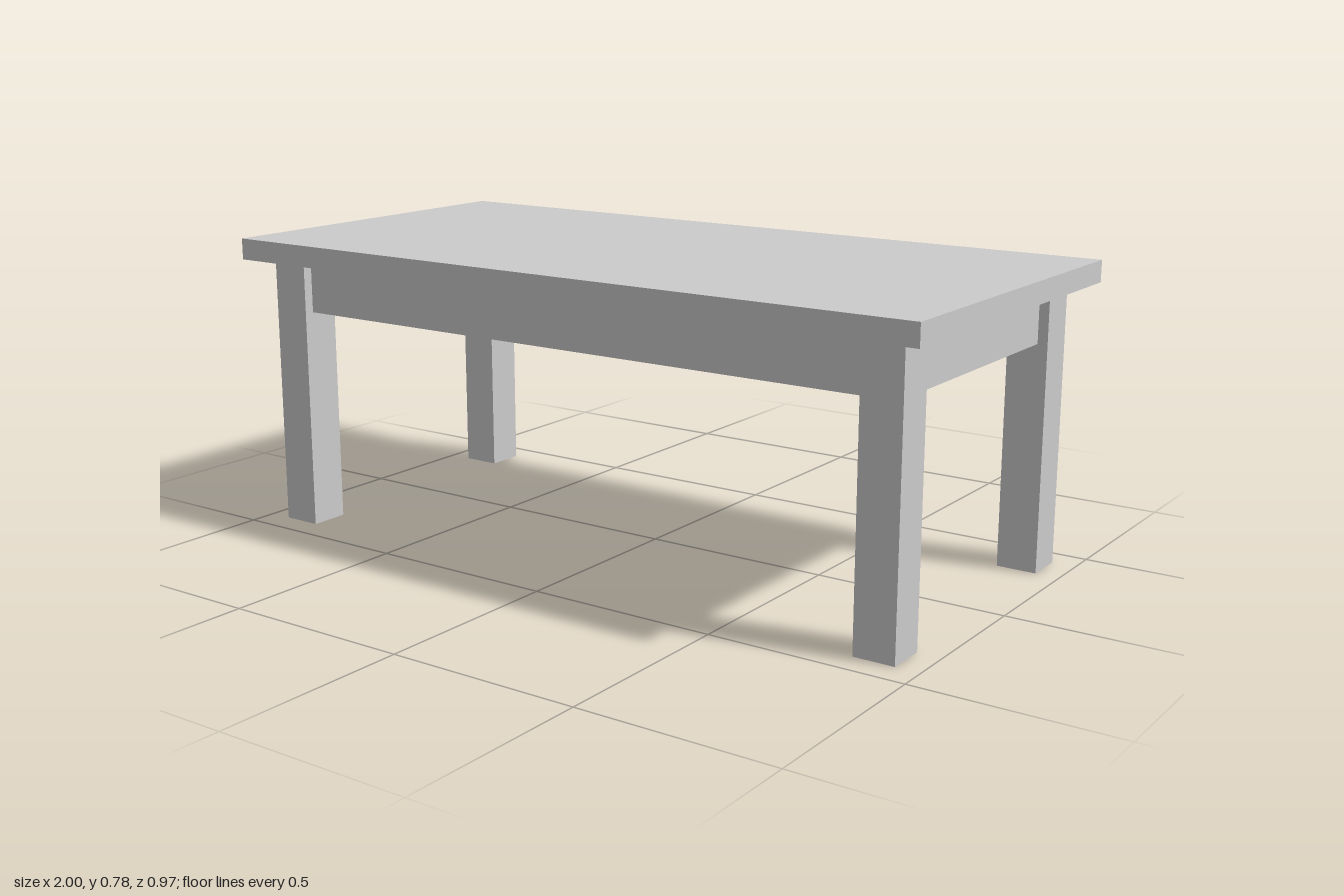
import * as THREE from 'three';

const TOP = { width: 2, depth: 0.973, y0: 0.722, y1: 0.778 };
const LEG = { size: 0.105, x: 0.8855, z: 0.3755 };
const APRON = { y0: 0.584, inset: 0.026 };
const FACES = ['right', 'left', 'top', 'bottom', 'front', 'back'];

// Box shell that keeps only the listed faces
function shell(width, height, depth, keep) {
  const geometry = new THREE.BoxGeometry(width, height, depth);
  const index = Array.from(geometry.index.array);
  geometry.setIndex(index.filter((_, i) => keep.includes(FACES[Math.floor(i / 6)])));
  geometry.clearGroups();
  // FACES follow the box order +x, -x, +y, -y, +z, -z
  return geometry;
}

export function createModel() {
  const model = new THREE.Group();
  model.name = 'table';
  const material = new THREE.MeshStandardMaterial({
    color: 0xcccccc, flatShading: true, side: THREE.DoubleSide,
  });

  const add = (name, geometry, x, y, z) => {
    const mesh = new THREE.Mesh(geometry, material);
    mesh.name = name;
    mesh.position.set(x, y, z);
    model.add(mesh);
  };

  // Tabletop with its rim, open underneath
  const rim = ['right', 'left', 'front', 'back'];
  add('tabletop', shell(TOP.width, TOP.y1 - TOP.y0, TOP.depth, [...rim, 'top']), 0, (TOP.y0 + TOP.y1) / 2, 0);

  // Hollow square legs, open at both ends
  const leg = shell(LEG.size, TOP.y0, LEG.size, rim);
  for (const [side, sx] of [['Left', 1], ['Right', -1]]) {
    for (const [end, sz] of [['front', 1], ['back', -1]]) {
      add(`${end}${side}Leg`, leg, sx * LEG.x, TOP.y0 / 2, sz * LEG.z);
    }
  }

  // Aprons: an outer wall set in from the legs and a bottom flush with their inner faces
  const height = TOP.y0 - APRON.y0;
  const y = (TOP.y0 + APRON.y0) / 2;
  const thickness = LEG.size - APRON.inset;
  const shift = APRON.inset / 2;
  for (const [name, s] of [['front', 1], ['back', -1]]) {
    add(`${name}Apron`, shell(2 * LEG.x - LEG.size, height, thickness, [name, 'bottom']), 0, y, s * (LEG.z - shift));
  }
  for (const [name, s, outer] of [['left', 1, 'right'], ['right', -1, 'left']]) {
    add(`${name}Apron`, shell(thickness, height, 2 * LEG.z - LEG.size, [outer, 'bottom']), s * (LEG.x - shift), y, 0);
  }
  return model;
}
